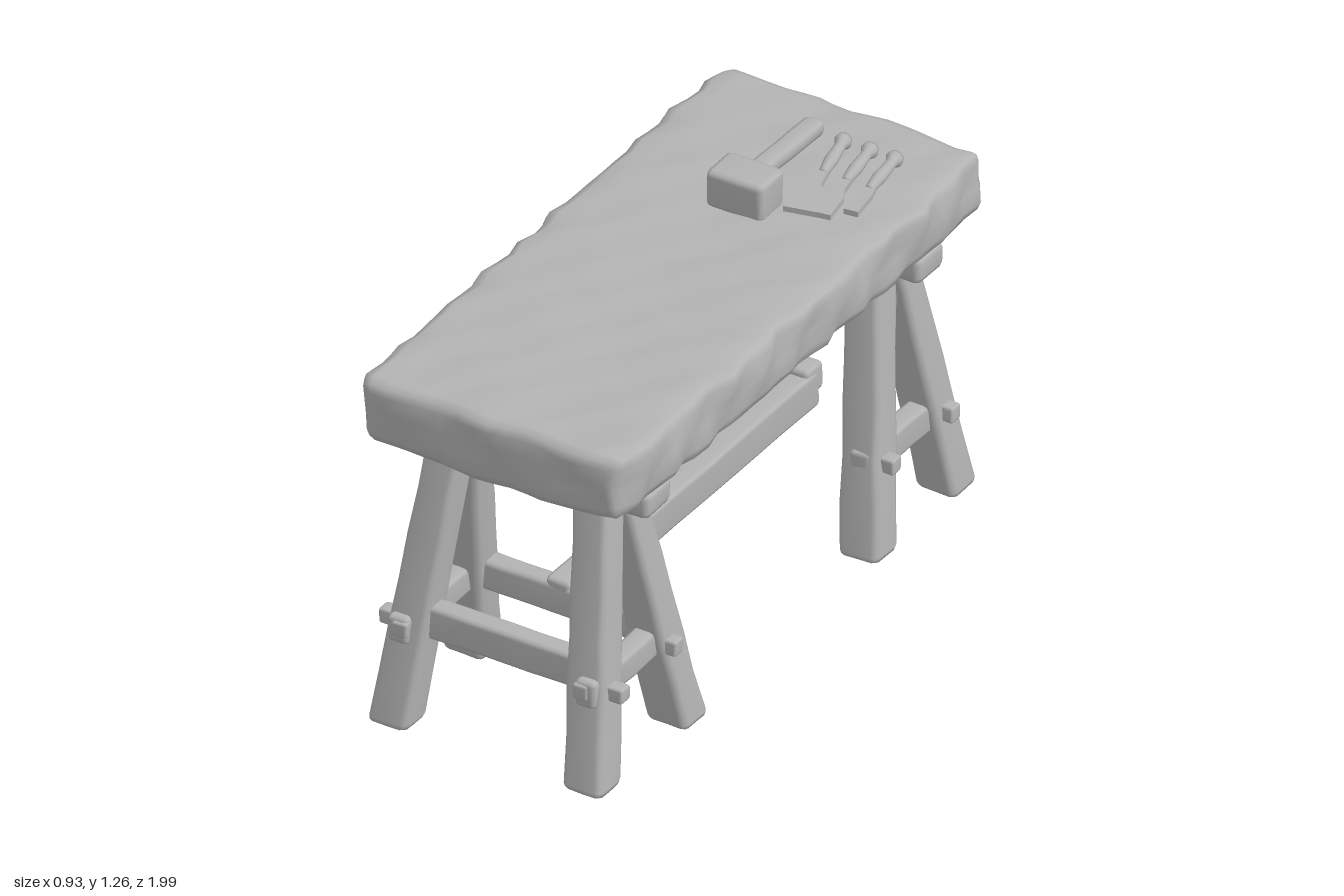
import * as THREE from 'three';
import { mergeVertices } from 'three/addons/utils/BufferGeometryUtils.js';

const wood = new THREE.MeshStandardMaterial({ color: 0xb3b3b3 });
wood.name = 'plain grey';

// smooth repeatable wobble in -1..1
const wobble = (x, y, z, s) =>
  (Math.sin(x * 17 + y * 9 + s) * Math.cos(z * 13 - y * 11 + s * 2) +
    0.7 * Math.sin(z * 31 + x * 23 + y * 19 + s * 3)) / 1.7;

// rough-hewn block: chamfered, subdivided box; rule(v) may reshape each vertex
function hewn(w, h, d, r, segs, amp, seed, rule) {
  const size = [w, h, d];
  let geo = new THREE.BoxGeometry(w, h, d, ...segs);
  geo.deleteAttribute('uv');
  geo.deleteAttribute('normal');
  geo = mergeVertices(geo, 1e-5);
  const pos = geo.attributes.position;
  const v = new THREE.Vector3(), c = new THREE.Vector3();
  for (let i = 0; i < pos.count; i++) {
    v.fromBufferAttribute(pos, i);
    const p = v.toArray().map((a, k) => {
      const n = segs[k], half = size[k] / 2;
      const j = Math.round((a / size[k] + 0.5) * n);
      if (j === 0) return -half;
      if (j === n) return half;
      return -half + r + (size[k] - 2 * r) * (j - 1) / (n - 2);
    });
    v.fromArray(p);
    c.fromArray(p.map((a, k) => THREE.MathUtils.clamp(a, r - size[k] / 2, size[k] / 2 - r)));
    v.sub(c);
    if (v.length() > r) v.setLength(r);
    v.add(c);
    const [x, y, z] = v.toArray();
    v.x += amp * wobble(x, y, z, seed);
    v.y += amp * 0.4 * wobble(y, z, x, seed + 2);
    v.z += amp * wobble(z, x, y, seed + 4);
    if (rule) rule(v);
    pos.setXYZ(i, v.x, v.y, v.z);
  }
  geo.computeVertexNormals();
  return geo;
}

export function createModel() {
  const model = new THREE.Group();
  model.name = 'workbench';
  let seed = 1;

  const add = (name, geo, x, y, z, parent = model) => {
    const m = new THREE.Mesh(geo, wood);
    m.name = name;
    m.position.set(x, y, z);
    parent.add(m);
    return m;
  };
  const block = (name, w, h, d, x, y, z, r = 0.015, parent = model) => {
    const n = (s) => Math.max(3, Math.min(9, Math.round(s / 0.1) + 2));
    return add(name, hewn(w, h, d, r, [n(w), n(h), n(d)], 0.004, seed++), x, y, z, parent);
  };

  // thick slab with worn, wavy edges
  add('tableTop', hewn(0.89, 0.225, 1.95, 0.035, [16, 5, 32], 0.015, 3, (v) => {
    const e = Math.pow(Math.abs(v.x) / 0.45, 4);
    if (v.y < 0) v.y += 0.028 * e;
    v.x *= 1 - 0.04 * Math.pow(Math.abs(v.z), 10);
    v.x += 0.006 * Math.sin(v.z * 38) * e;
  }), 0.005, 1.035, -0.005);

  // leg leaning from its foot to its top, tapered upward
  const leg = (name, xFoot, zFoot, xTop, zTop) => {
    const H = 0.92;
    add(name, hewn(0.135, H, 0.125, 0.022, [4, 8, 4], 0.004, seed++, (v) => {
      const t = THREE.MathUtils.clamp(v.y / H + 0.5, 0, 1);
      const s = 1 - 0.14 * t;
      v.x = v.x * s + xFoot + (xTop - xFoot) * t;
      v.z = v.z * s + zFoot + (zTop - zFoot) * t;
      v.y = t * H;
    }), 0, 0, 0);
  };

  // trestle caps under the slab
  block('frontCapBeam', 0.86, 0.085, 0.14, 0, 0.9, 0.73, 0.02);
  block('backCapBeam', 0.86, 0.085, 0.14, 0, 0.9, -0.72, 0.02);

  // front trestle: four legs, side rails and pegs
  for (const s of [-1, 1]) {
    leg('frontOuterLeg', s * 0.33, 0.935, s * 0.245, 0.765);
    leg('frontInnerLeg', s * 0.345, 0.5, s * 0.25, 0.69);
    block('frontSideRail', 0.07, 0.09, 0.44, s * 0.315, 0.315, 0.735);
    block('frontPeg', 0.048, 0.05, 0.06, s * 0.305, 0.325, 0.935, 0.008);
    for (const z of [0.88, 0.59]) block('sidePeg', 0.08, 0.05, 0.048, s * 0.37, 0.31, z, 0.008);
  }
  block('frontOuterRail', 0.6, 0.11, 0.07, 0, 0.34, 0.87);
  block('frontInnerRail', 0.6, 0.1, 0.07, 0, 0.33, 0.565);

  // back trestle: two legs on one side, one on the other
  leg('backOuterLeg', 0.345, -0.935, 0.25, -0.76);
  leg('backInnerLeg', 0.345, -0.515, 0.25, -0.68);
  leg('backSingleLeg', -0.335, -0.605, -0.245, -0.78);
  block('backSideRail', 0.07, 0.1, 0.44, 0.32, 0.285, -0.725);
  for (const z of [-0.56, -0.88]) block('backSidePeg', 0.08, 0.05, 0.048, 0.375, 0.295, z, 0.008);
  block('backPeg', 0.048, 0.05, 0.06, 0.315, 0.3, -0.92, 0.008);
  block('backSinglePeg', 0.08, 0.05, 0.048, -0.37, 0.31, -0.67, 0.008);
  block('backHalfRail', 0.34, 0.09, 0.09, -0.13, 0.37, -0.715);

  // long stretcher joining the trestles
  block('longStretcher', 0.085, 0.12, 1.33, 0, 0.337, -0.07);

  // mallet lying on the slab
  const mallet = new THREE.Group();
  mallet.name = 'mallet';
  model.add(mallet);
  block('malletHead', 0.19, 0.125, 0.13, 0.013, 1.2, -0.383, 0.018, mallet);
  const handle = block('malletHandle', 0.065, 0.05, 0.37, 0, 1.198, -0.6, 0.017, mallet);
  handle.rotation.x = -0.04;

  // chisels: turned handle, thin shank and flat flared blade
  const handleProfile = [[0, 0], [0.022, 0.002], [0.027, 0.018], [0.017, 0.04], [0.021, 0.12],
    [0.015, 0.19], [0, 0.19]].map(([r, y]) => new THREE.Vector2(r, y));
  const chisels = [[0.09, 0.185, 0.4, 0.05], [0.18, 0.245, 0.38, 0.03], [0.265, 0.31, 0.32, 0.022]];
  for (const [x0, x1, len, halfWidth] of chisels) {
    const tool = new THREE.Group();
    tool.name = 'chisel';
    tool.position.set(x0, 1.168, -0.795);
    tool.rotation.y = Math.atan2(x1 - x0, len);
    model.add(tool);
    const grip = add('chiselHandle', new THREE.LatheGeometry(handleProfile, 10), 0, 0, 0, tool);
    grip.rotation.x = Math.PI / 2;
    const blade = new THREE.Shape();
    blade.moveTo(-0.014, 0.17);
    blade.lineTo(0.014, 0.17);
    blade.lineTo(0.016, len - 0.14);
    blade.lineTo(halfWidth, len - 0.1);
    blade.lineTo(halfWidth, len);
    blade.lineTo(-halfWidth, len);
    blade.lineTo(-halfWidth, len - 0.1);
    blade.lineTo(-0.016, len - 0.14);
    const geo = new THREE.ExtrudeGeometry(blade, { depth: 0.018, bevelEnabled: false });
    add('chiselBlade', geo, 0, 0.006, 0, tool).rotation.x = Math.PI / 2;
  }
  return model;
}
